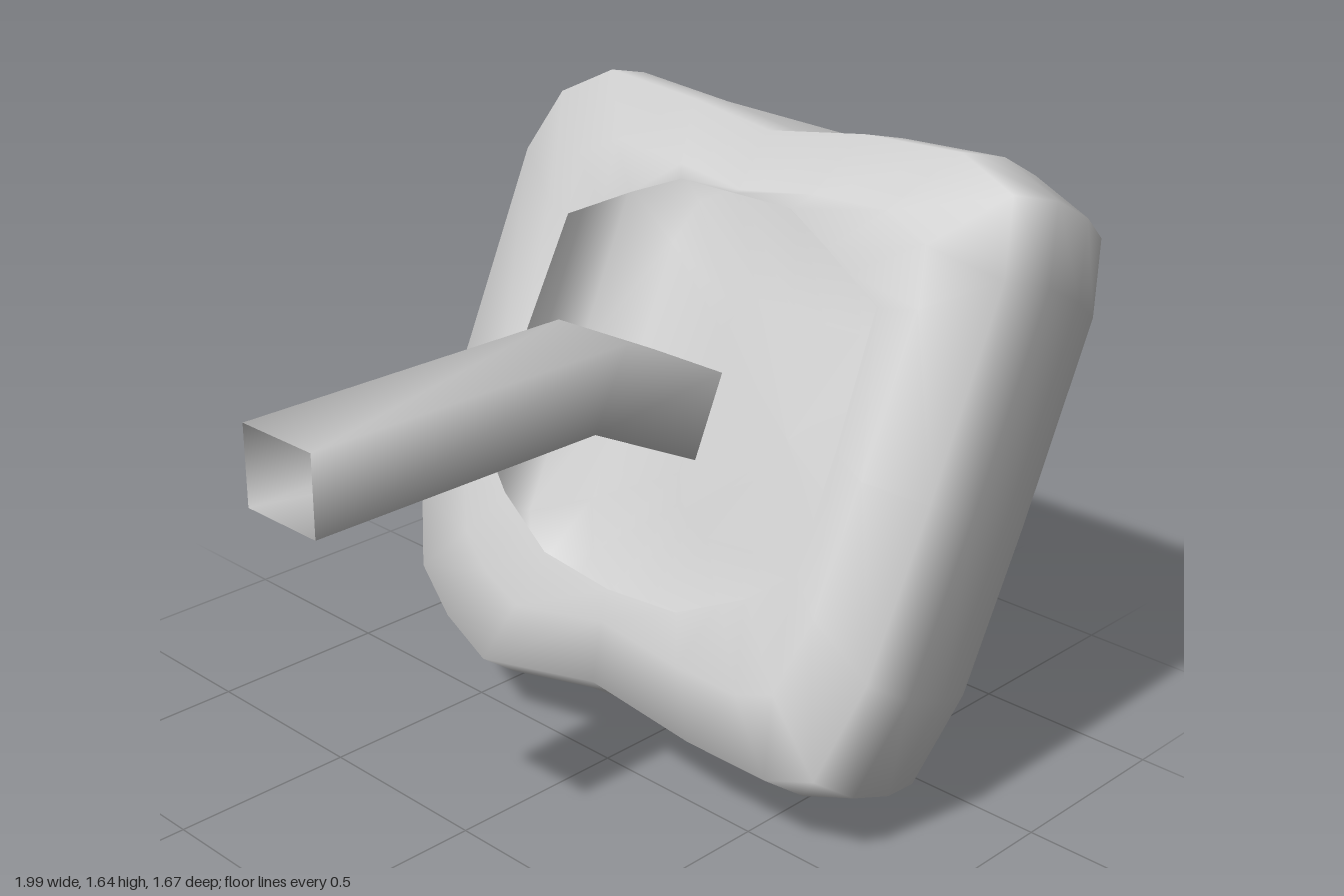
import * as THREE from 'three';

const material = new THREE.MeshStandardMaterial({ color: 0xcccccc, side: THREE.DoubleSide });

// Smooth skin over a series of closed rings with equal point counts
function skin(name, rings) {
  const count = rings[0].length;
  const index = [];
  for (let i = 0; i < rings.length - 1; i++) {
    for (let j = 0; j < count; j++) {
      const k = (j + 1) % count;
      const a = i * count + j, b = a + count;
      const c = i * count + k, d = c + count;
      index.push(a, b, c, b, d, c);
    }
  }
  const geometry = new THREE.BufferGeometry().setFromPoints(rings.flat());
  geometry.setIndex(index);
  geometry.computeVertexNormals();
  const mesh = new THREE.Mesh(geometry, material);
  mesh.name = name;
  return mesh;
}

// Hollow cushion-like head: x is thickness, y runs up the slab, z across it
function createHead() {
  // Slightly irregular rounded square, as [z, y]
  const outline = [
    [0, 0.82], [-0.28, 0.82], [-0.6, 0.83], [-0.76, 0.74], [-0.825, 0.56], [-0.82, 0],
    [-0.82, -0.47], [-0.73, -0.66], [-0.58, -0.76], [-0.4, -0.83], [0, -0.795], [0.36, -0.785],
    [0.62, -0.78], [0.76, -0.73], [0.82, -0.46], [0.83, 0], [0.83, 0.56], [0.78, 0.76],
    [0.6, 0.83], [0.3, 0.83],
  ];

  // Octagonal opening in the inner face
  const opening = outline.map(([z, y]) => {
    const a = Math.abs(z) / 0.55, b = Math.abs(y) / 0.53;
    const r = 1 / Math.max(a, b, (0.54 * a + b) / 1.2);
    return new THREE.Vector3(-0.25, y * r + 0.045, z * r - 0.02);
  });

  // Section from the inner face round the edge to the outer face: [scale, thickness]
  const section = [
    [0.76, -0.255], [0.975, -0.217], [1.01, -0.07], [1, 0.09], [0.965, 0.222],
    [0.75, 0.27], [0.4, 0.265], [0, 0.26],
  ];
  // The inner half is pinched at the middle of its top and bottom edges
  const rings = section.map(([s, x]) => outline.map(([z, y]) => {
    const pinch = x < 0 ? 1 - 0.06 * Math.exp(-((z / 0.25) ** 2)) : 1;
    return new THREE.Vector3(x, y * s * pinch, z * s);
  }));
  const head = skin('head', [opening, ...rings]);
  head.position.set(0.45, 0.82, 0);
  head.rotation.z = -THREE.MathUtils.degToRad(25);
  return head;
}

// Open four-sided pipe with softened shading and one mitred bend
function createStem() {
  // Centre x, y and the half-height direction of each section
  const stations = [
    [-1, 1.11, 0, 0.102],
    [-0.105, 1.11, 0.055, 0.102],
    [0.238, 0.942, 0.047, 0.105],
  ];
  const corners = [[1, 1], [1, -1], [-1, -1], [-1, 1]];
  const rings = stations.map(([x, y, dx, dy]) => corners.map(([side, h]) =>
    new THREE.Vector3(x + dx * h, y + dy * h, 0.12 * side)));
  return skin('stem', rings);
}

export function createModel() {
  const model = new THREE.Group();
  model.name = 'paddedRest';
  model.add(createHead(), createStem());
  return model;
}
